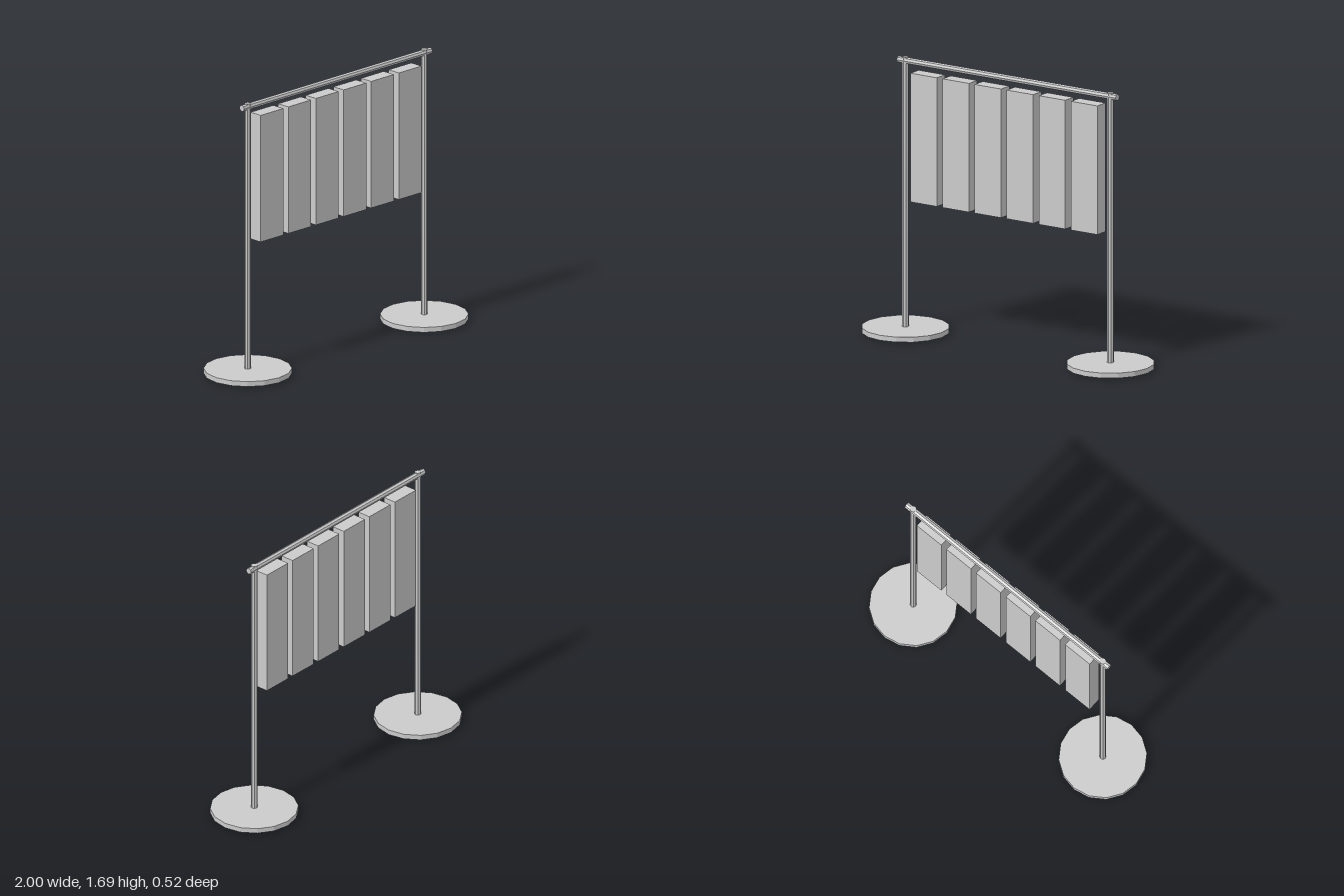
import * as THREE from 'three';

export function createModel() {
  const group = new THREE.Group();
  const material = new THREE.MeshStandardMaterial({ color: 0xcccccc, flatShading: true });

  const add = (name, geometry, x, y) => {
    const mesh = new THREE.Mesh(geometry, material);
    mesh.name = name;
    mesh.position.set(x, y, 0);
    group.add(mesh);
    return mesh;
  };

  // Round foot and upright pole on each side; the pole pokes just below the foot
  const height = 1.686;
  const baseGeometry = new THREE.CylinderGeometry(0.262, 0.262, 0.031, 16);
  const poleGeometry = new THREE.CylinderGeometry(0.02, 0.02, height, 8);
  for (const [side, sign] of [['left', 1], ['right', -1]]) {
    add(side + 'Base', baseGeometry, sign * 0.738, 0.022);
    add(side + 'Pole', poleGeometry, sign * 0.738, height / 2);
  }

  // Horizontal bar resting across the poles
  const bar = add('crossbar', new THREE.CylinderGeometry(0.02, 0.02, 1.576, 8), 0, 1.665);
  bar.rotation.z = Math.PI / 2;

  // Row of six panels below the bar
  const panelGeometry = new THREE.BoxGeometry(0.19, 0.788, 0.086);
  for (let i = 0; i < 6; i++) {
    add('panel' + (i + 1), panelGeometry, (i - 2.5) * 0.231, 1.211);
  }

  return group;
}
